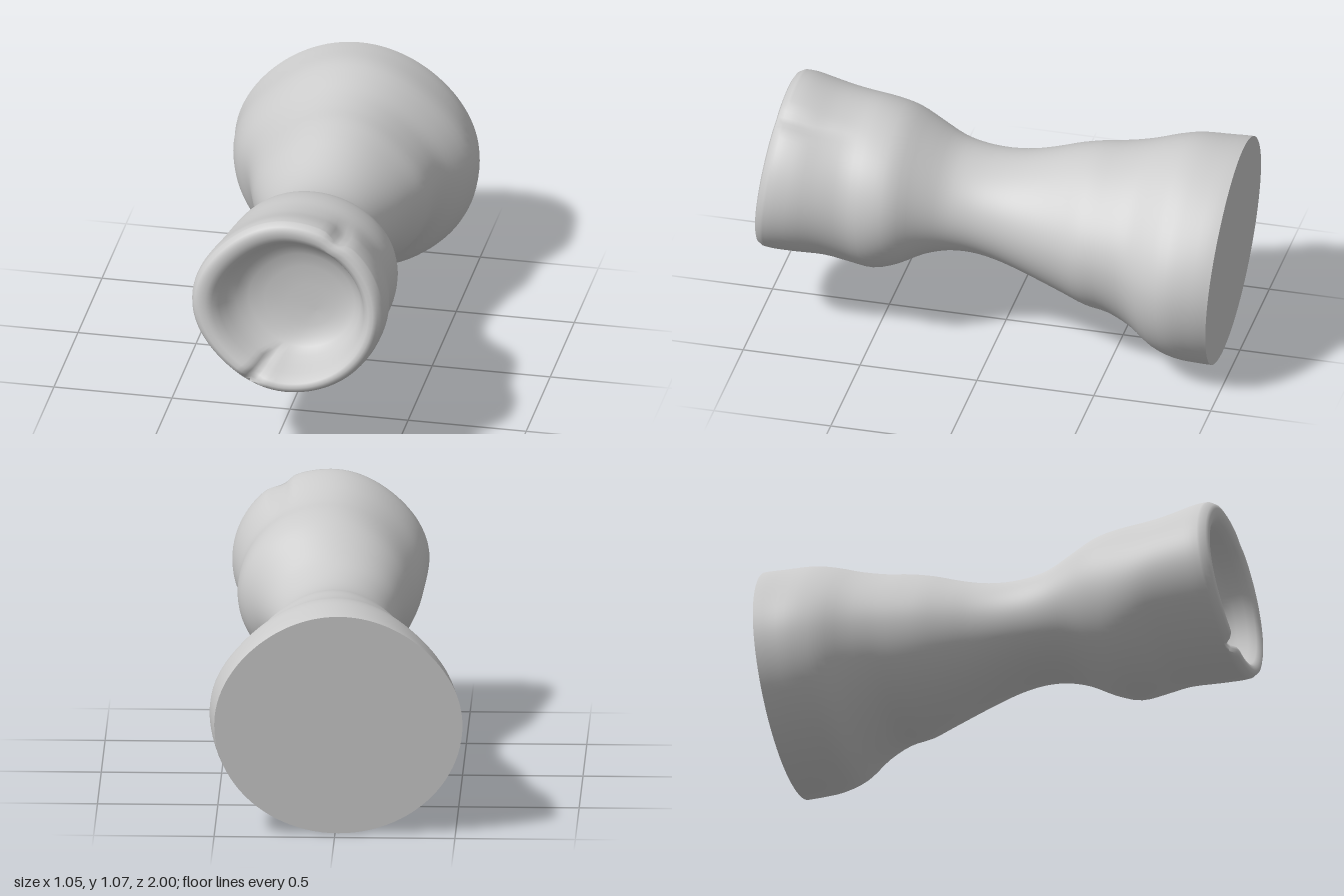
import * as THREE from 'three';

const SEG = 96;

// Outer stations: z, x min, x max, y min, y max
const STATIONS = [
  [-0.968, -0.53, 0.50, 0.0, 0.95],
  [-0.90, -0.518, 0.515, 0.01, 0.96],
  [-0.80, -0.505, 0.523, 0.025, 0.97],
  [-0.70, -0.475, 0.487, 0.055, 0.95],
  [-0.60, -0.42, 0.435, 0.13, 0.922],
  [-0.50, -0.38, 0.415, 0.188, 0.905],
  [-0.40, -0.35, 0.40, 0.21, 0.897],
  [-0.30, -0.32, 0.365, 0.245, 0.875],
  [-0.20, -0.282, 0.335, 0.285, 0.845],
  [-0.10, -0.245, 0.31, 0.325, 0.822],
  [0.00, -0.222, 0.295, 0.36, 0.813],
  [0.10, -0.215, 0.295, 0.382, 0.82],
  [0.20, -0.225, 0.318, 0.385, 0.847],
  [0.30, -0.247, 0.37, 0.365, 0.91],
  [0.40, -0.277, 0.433, 0.32, 0.975],
  [0.50, -0.30, 0.45, 0.287, 1.003],
  [0.60, -0.317, 0.444, 0.295, 1.013],
  [0.70, -0.327, 0.46, 0.32, 1.03],
  [0.80, -0.333, 0.48, 0.325, 1.052],
  [0.88, -0.335, 0.482, 0.325, 1.07],
  [0.925, -0.328, 0.475, 0.328, 1.074],
];

// Rim and hollow: z, scale of the last outer section
const HOLLOW = [
  [0.948, 0.965], [0.956, 0.92], [0.952, 0.86], [0.937, 0.81], [0.905, 0.765],
  [0.86, 0.72], [0.815, 0.655], [0.785, 0.56], [0.768, 0.43], [0.757, 0.25], [0.755, 0],
];

// Soft bump around one angle
const bump = (a, centre, width) => {
  const d = Math.atan2(Math.sin(a - centre), Math.cos(a - centre));
  return Math.exp(-((d / width) ** 2));
};

function sectionPoint([z, x0, x1, y0, y1], scale, a, inner) {
  const front = THREE.MathUtils.smoothstep(z, 0.3, 0.7);
  const diagonal = Math.sin(2 * a) ** 2;
  let r = scale;
  // slightly flattened diagonals on the -x side of the cup
  if (Math.cos(a) < 0) r *= 1 - 0.04 * front * diagonal;
  // flattened upper shoulders of the foot
  const foot = 1 - THREE.MathUtils.smoothstep(z, -0.4, 0.1);
  const base = THREE.MathUtils.smoothstep(-z, 0.8, 0.968);
  if (Math.sin(a) > 0) r *= 1 - 0.05 * foot * (1 - 0.6 * base) * diagonal;
  // groove running back from the rim
  const groove = inner ? 0.4 : THREE.MathUtils.smoothstep(z, 0.55, 0.85);
  if (scale > 0.85) r *= 1 - 0.065 * groove * bump(a, 1.02, 0.1);
  // small notch inside the lip
  const notch = inner && scale > 0.7 ? bump(a, -1.95, 0.08) : 0;
  r += 0.03 * notch;
  // hollow drifts away from its steeper upper -x wall
  const drift = inner ? 0.1 * Math.max(0, 0.9 - scale) : 0;
  const x = (x0 + x1) / 2 + r * Math.cos(a) * (x1 - x0) / 2 + drift;
  const y = (y0 + y1) / 2 + r * Math.sin(a) * (y1 - y0) / 2 - drift;
  // slanted rim and slanted base
  let pz = z - 0.04 * notch;
  pz -= 0.125 * (y - 0.69) * THREE.MathUtils.smoothstep(z, 0.65, 0.88);
  const back = THREE.MathUtils.smoothstep(-z, 0.75, 0.968);
  pz -= back * (0.074 * (y - 0.475) + 0.029 * x);
  return [x, y, pz];
}

// Smooth curve through the stations, one spline per bound
function smoothStations(count) {
  const splines = [0, 1, 2, 3, 4].map((c) =>
    new THREE.SplineCurve(STATIONS.map((s) => new THREE.Vector2(s[c], 0))));
  return Array.from({ length: count + 1 }, (_, i) => splines.map((s) => s.getPoint(i / count).x));
}

// Joins closed rings of points into one smooth skin
function loft(rings) {
  const index = [];
  for (let i = 0; i < rings.length - 1; i++) {
    for (let j = 0; j < SEG; j++) {
      const k = (j + 1) % SEG;
      const a = i * SEG + j, b = i * SEG + k;
      index.push(a, b, b + SEG, a, b + SEG, a + SEG);
    }
  }
  const geo = new THREE.BufferGeometry();
  geo.setAttribute('position', new THREE.Float32BufferAttribute(rings.flat(2), 3));
  geo.setIndex(index);
  geo.computeVertexNormals();
  return geo;
}

// Flat disc closing a ring, facing -z
function cap(ring) {
  const centre = [0, 1, 2].map((c) => ring.reduce((s, p) => s + p[c], 0) / SEG);
  const index = [];
  for (let j = 0; j < SEG; j++) index.push(SEG, (j + 1) % SEG, j);
  const geo = new THREE.BufferGeometry();
  geo.setAttribute('position', new THREE.Float32BufferAttribute([...ring, centre].flat(), 3));
  geo.setIndex(index);
  geo.computeVertexNormals();
  return geo;
}

export function createModel() {
  const group = new THREE.Group();
  const material = new THREE.MeshStandardMaterial({ color: 0xcccccc });
  const add = (name, geo) => {
    const mesh = new THREE.Mesh(geo, material);
    mesh.name = name;
    group.add(mesh);
  };
  const ring = (station, scale, inner) => Array.from({ length: SEG }, (_, j) =>
    sectionPoint(station, scale, (j / SEG) * Math.PI * 2, inner));

  // Flared foot, waist, cup wall, rounded lip and hollow
  const rimBounds = STATIONS[STATIONS.length - 1].slice(1);
  const outer = smoothStations(60).map((station) => ring(station, 1, false));
  const inner = HOLLOW.map(([z, s]) => ring([z, ...rimBounds], s, true));
  add('flaredCupBody', loft([...outer, ...inner]));

  // Flat slanted base
  add('flatBase', cap(outer[0]));
  return group;
}
